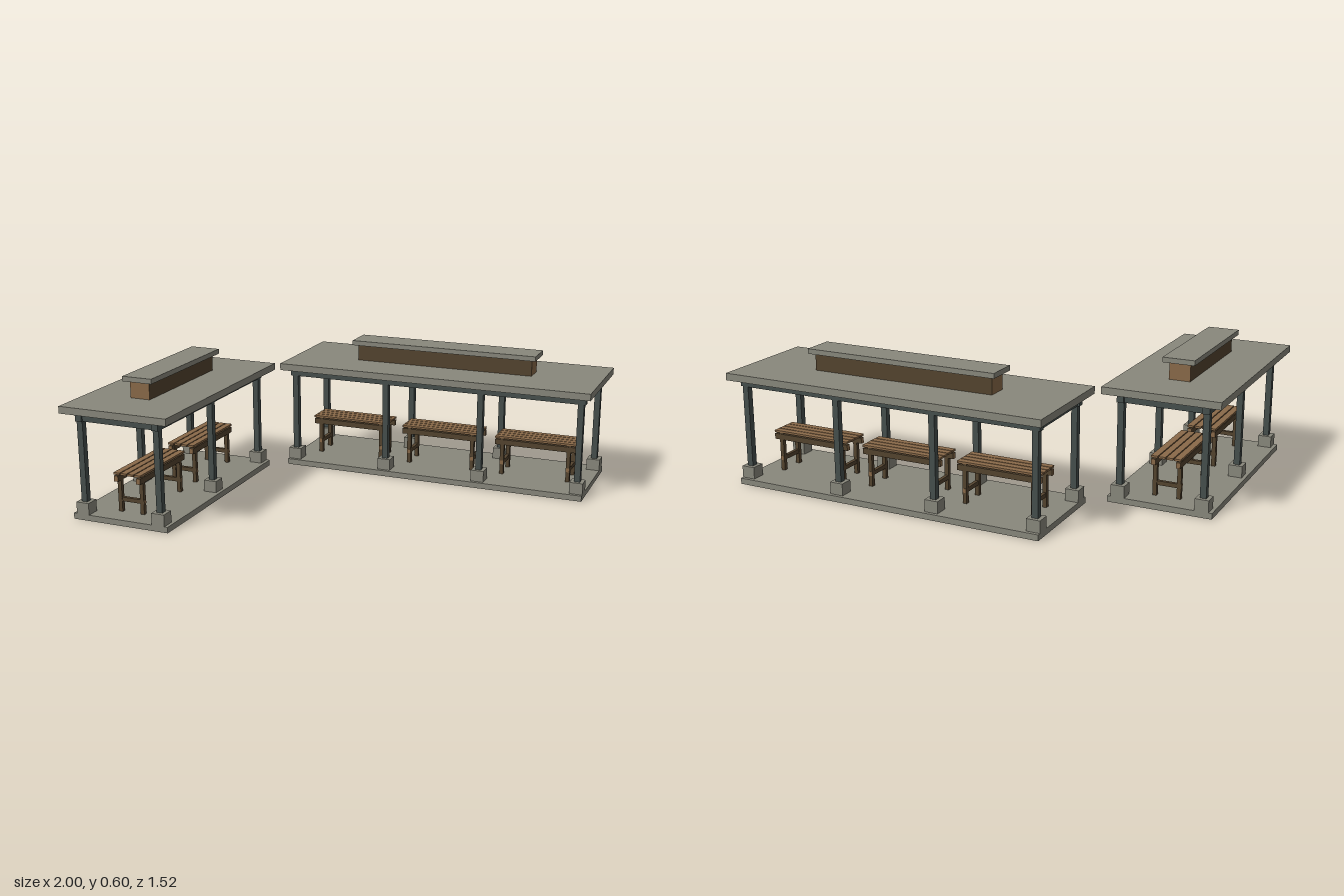
import * as THREE from 'three';

const material = (name, color) => {
  const m = new THREE.MeshStandardMaterial({ color });
  m.name = name;
  return m;
};

export function createModel() {
  const concrete = material('concrete', 0x89887c);
  const steel = material('dark steel', 0x464f4d);
  const wood = material('light wood', 0x8a6a49);
  const darkWood = material('dark wood', 0x54442f);
  // timber with pale end grain, along x or along z
  const grainX = [wood, wood, darkWood, darkWood, darkWood, darkWood];
  const grainZ = [darkWood, darkWood, darkWood, darkWood, wood, wood];

  // box from its size, bottom height and centre in plan
  const box = (parent, name, mat, w, h, d, x, y, z) => {
    const mesh = new THREE.Mesh(new THREE.BoxGeometry(w, h, d), mat);
    mesh.name = name;
    mesh.position.set(x, y + h / 2, z);
    parent.add(mesh);
  };

  const makeBench = () => {
    const bench = new THREE.Group();
    bench.name = 'bench';
    // seat slats
    for (let i = 0; i < 4; i++) {
      box(bench, 'seatSlat', wood, 0.376, 0.009, 0.029, 0, 0.198, (i - 1.5) * 0.0335);
    }
    for (const s of [-1, 1]) {
      box(bench, 'apron', grainX, 0.376, 0.025, 0.019, 0, 0.167, s * 0.054);
      for (const t of [-1, 1]) box(bench, 'leg', darkWood, 0.018, 0.173, 0.018, s * 0.155, 0.026, t * 0.053);
      box(bench, 'stretcher', grainZ, 0.016, 0.018, 0.127, s * 0.155, 0.073, 0);
    }
    return bench;
  };

  // shelter running along x, one bench in each bay
  const makeShelter = (name, bays, bay, roofLength, ventLength) => {
    const g = new THREE.Group();
    g.name = name;
    const span = bays * bay;
    const row = 0.182;
    box(g, 'floorSlab', concrete, span + 0.06, 0.026, 0.455, 0, 0, 0);
    box(g, 'roof', concrete, roofLength, 0.031, 0.507, 0, 0.469, 0);
    // raised ridge with its cap
    box(g, 'ridgeBox', grainX, ventLength, 0.075, 0.092, 0, 0.5, 0);
    box(g, 'ridgeCap', concrete, ventLength + 0.042, 0.022, 0.139, 0, 0.575, 0);
    // columns, footings and roof beams
    for (const s of [-1, 1]) {
      box(g, 'longBeam', steel, span + 0.044, 0.036, 0.03, 0, 0.433, s * row);
    }
    for (let i = 0; i <= bays; i++) {
      const x = (i - bays / 2) * bay;
      for (const s of [-1, 1]) {
        box(g, 'footing', concrete, 0.06, 0.052, 0.06, x, 0.026, s * row);
        box(g, 'column', steel, 0.027, 0.355, 0.027, x, 0.078, s * row);
      }
      box(g, 'crossBeam', steel, 0.027, 0.024, row * 2, x, 0.433, 0);
    }
    for (let i = 0; i < bays; i++) {
      const bench = makeBench();
      bench.position.x = (i - (bays - 1) / 2) * bay;
      g.add(bench);
    }
    return g;
  };

  const model = new THREE.Group();
  model.name = 'picnicShelters';
  const long = makeShelter('longShelter', 3, 0.4545, 1.467, 0.84);
  long.position.set(0.266, 0, -0.509);
  const short = makeShelter('shortShelter', 2, 0.4535, 1.014, 0.559);
  short.position.set(-0.747, 0, 0.255);
  short.rotation.y = Math.PI / 2;
  model.add(long, short);
  return model;
}
